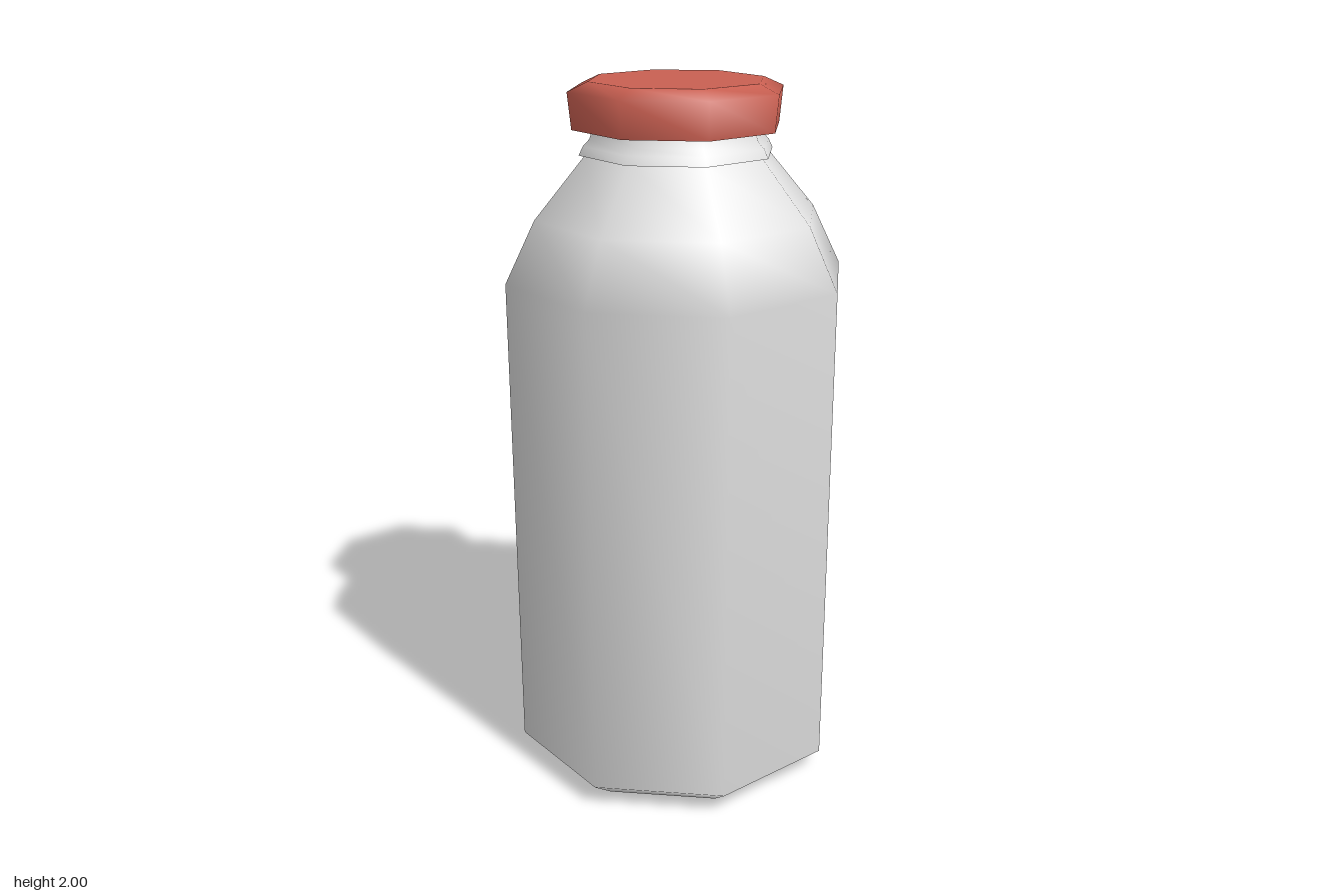
import * as THREE from 'three';

const SIDES = 8;

// Smooth eight-sided surface turned from a profile of [radius, height] pairs
function turned(name, profile, material) {
  const points = profile.map(([r, y]) => new THREE.Vector2(r, y));
  const mesh = new THREE.Mesh(new THREE.LatheGeometry(points, SIDES), material);
  mesh.name = name;
  return mesh;
}

export function createModel() {
  const glass = new THREE.MeshStandardMaterial({ color: 0xe0e0e0 });
  glass.name = 'milky white';
  const red = new THREE.MeshStandardMaterial({ color: 0xca6052 });
  red.name = 'cap red';

  const bottle = new THREE.Group();
  bottle.name = 'bottle';

  // Base, kept separate from the wall for a sharp edge
  bottle.add(turned('base', [[0, 0], [0.4, 0]], glass));

  // Wall with a bevelled foot and sloping shoulder
  bottle.add(turned('body', [
    [0.4, 0], [0.485, 0.065], [0.485, 1.47], [0.4, 1.64], [0.255, 1.81],
  ], glass));

  // Collar under the cap
  bottle.add(turned('collarUnderside', [[0.22, 1.808], [0.274, 1.808]], glass));
  bottle.add(turned('neck', [
    [0.274, 1.808], [0.262, 1.832], [0.244, 1.85], [0.23, 1.89],
  ], glass));

  // Cap: rim, underside and flat top
  bottle.add(turned('capUnderside', [[0.2, 1.876], [0.292, 1.876]], red));
  bottle.add(turned('capRim', [[0.292, 1.876], [0.302, 1.975], [0.245, 2]], red));
  bottle.add(turned('capTop', [[0.245, 2], [0, 2]], red));

  return bottle;
}
